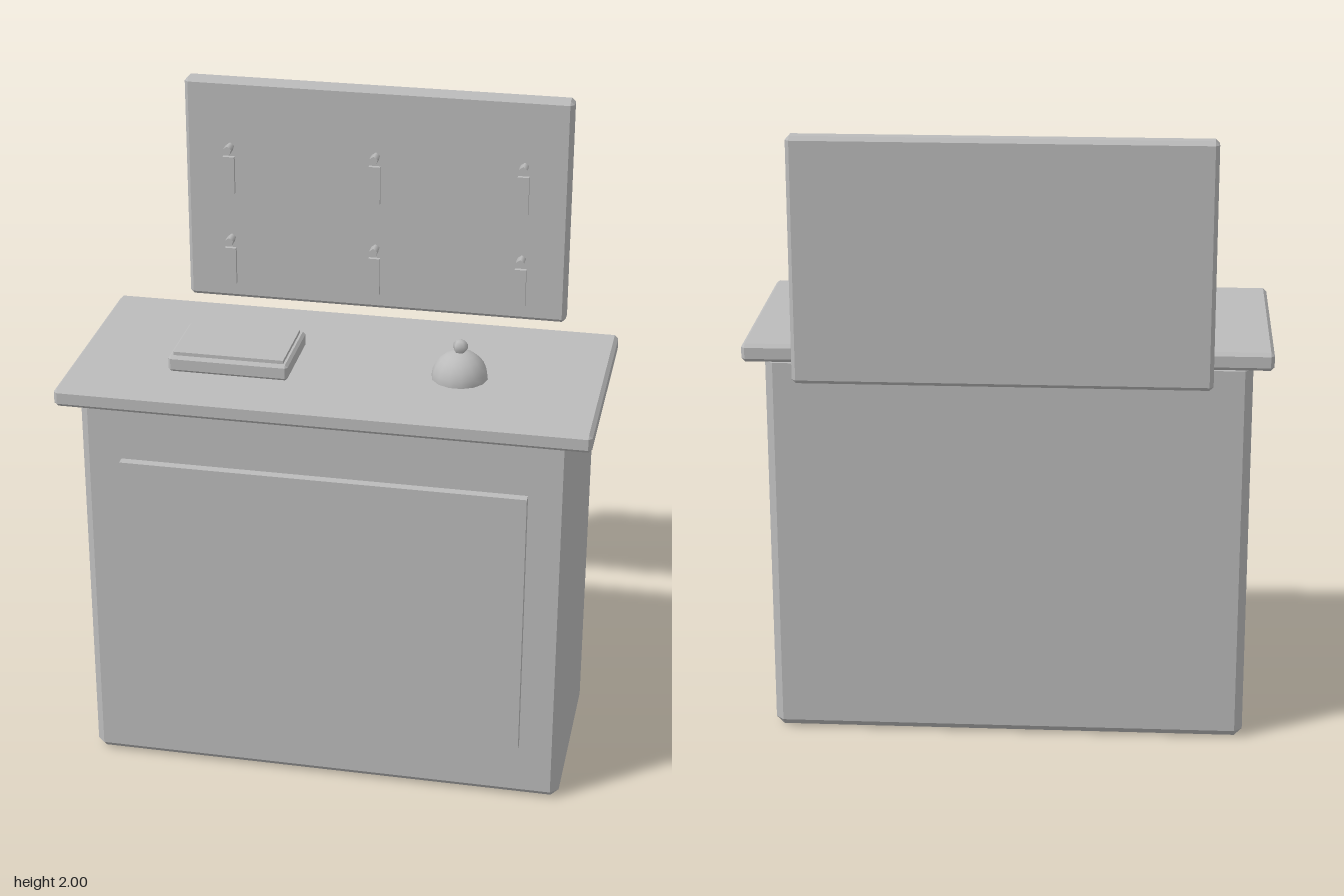
import * as THREE from 'three';
import { ConvexGeometry } from 'three/addons/geometries/ConvexGeometry.js';

const grey = new THREE.MeshStandardMaterial({ color: 0xbbbbbb });
grey.name = 'plain grey';

// Box from its limits on each axis, with all edges chamfered by b
function chamferBox([x0, x1], [y0, y1], [z0, z1], b) {
  const h = [(x1 - x0) / 2, (y1 - y0) / 2, (z1 - z0) / 2];
  const points = [];
  for (const sx of [-1, 1]) for (const sy of [-1, 1]) for (const sz of [-1, 1]) {
    for (let full = 0; full < 3; full++) {
      const [x, y, z] = h.map((v, i) => (i === full ? v : v - b));
      points.push(new THREE.Vector3(sx * x, sy * y, sz * z));
    }
  }
  return new ConvexGeometry(points).translate((x0 + x1) / 2, (y0 + y1) / 2, (z0 + z1) / 2);
}

function plainBox([x0, x1], [y0, y1], [z0, z1]) {
  return new THREE.BoxGeometry(x1 - x0, y1 - y0, z1 - z0)
    .translate((x0 + x1) / 2, (y0 + y1) / 2, (z0 + z1) / 2);
}

export function createModel() {
  const model = new THREE.Group();
  model.name = 'receptionDesk';
  const add = (name, geometry, parent = model) => {
    const mesh = new THREE.Mesh(geometry, grey);
    mesh.name = name;
    parent.add(mesh);
    return mesh;
  };

  // Desk
  add('deskBody', chamferBox([-0.75, 0.75], [0, 1.255], [-0.2, 0.42], 0.025));
  add('frontPanel', plainBox([-0.623, 0.623], [0.19, 1.065], [0.41, 0.448]));
  add('counterTop', chamferBox([-0.81, 0.81], [1.25, 1.307], [-0.262, 0.48], 0.011));

  // Guest book
  add('bookCover', chamferBox([-0.5, -0.13], [1.315, 1.365], [0.036, 0.304], 0.008));
  add('bookPage', plainBox([-0.485, -0.145], [1.355, 1.376], [0.05, 0.29]));

  // Service bell
  const bell = new THREE.Group();
  bell.name = 'bell';
  bell.position.set(0.373, 1.315, 0.168);
  model.add(bell);
  add('bellDome', new THREE.SphereGeometry(0.086, 14, 6, 0, Math.PI * 2, 0, Math.PI / 2), bell);
  add('bellBottom', new THREE.CircleGeometry(0.086, 14).rotateX(Math.PI / 2), bell);
  add('bellKnob', new THREE.SphereGeometry(0.024, 5, 5).rotateY(-Math.PI / 2).translate(0, 0.1, 0), bell);

  // Key board with two rows of three hooks and tags
  add('keyBoard', chamferBox([-0.623, 0.623], [1.255, 2], [-0.485, -0.426], 0.012));
  const hook = new THREE.CylinderGeometry(0.0145, 0.0145, 0.042, 5).rotateX(-Math.PI / 2);
  const tag = new THREE.BoxGeometry(0.037, 0.125, 0.013);
  for (const y of [1.466, 1.779]) {
    for (const x of [-0.476, 0, 0.476]) {
      add('keyHook', hook).position.set(x, y, -0.405);
      add('keyTag', tag).position.set(x, y - 0.088, -0.404);
    }
  }
  return model;
}
